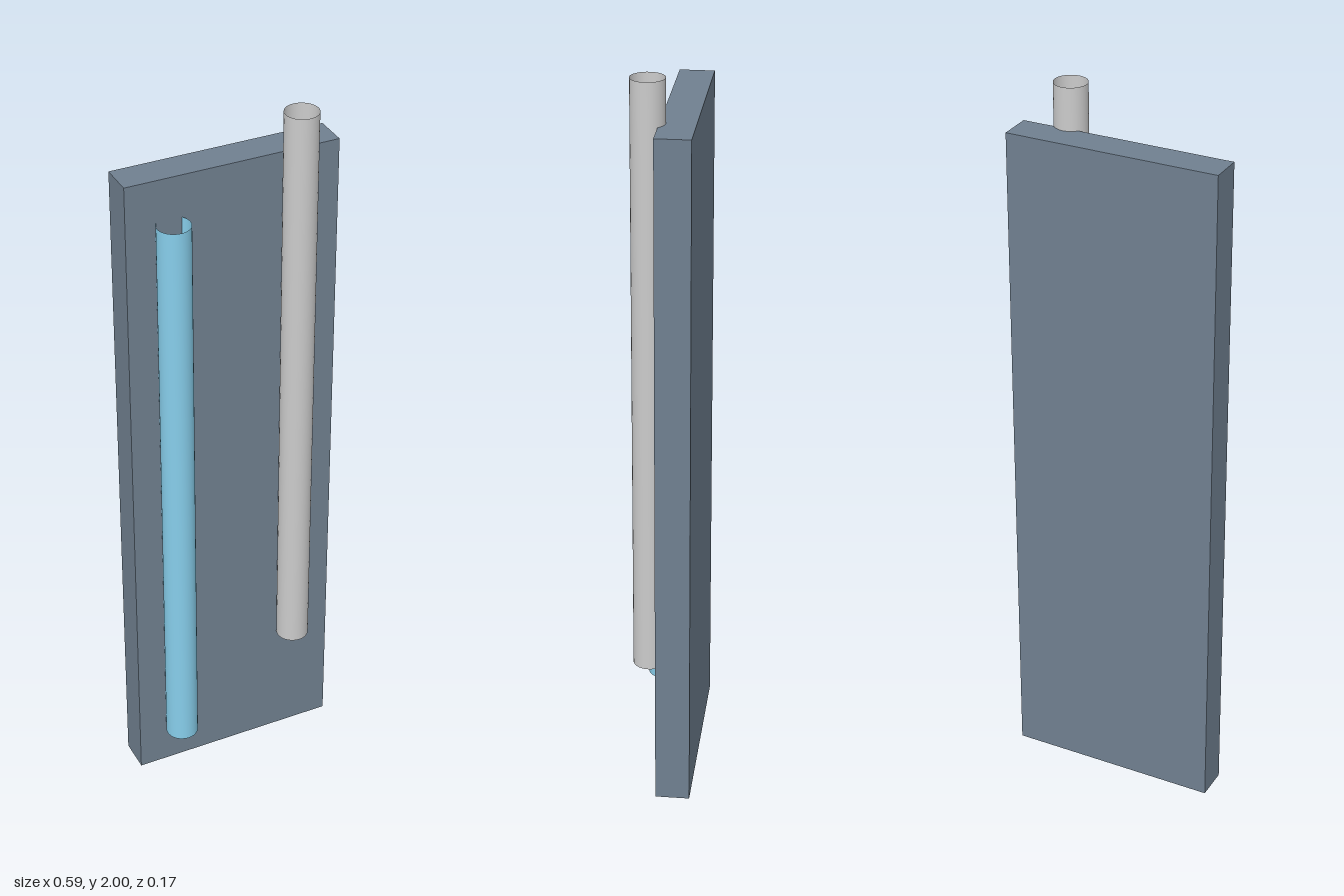
import * as THREE from 'three';

const material = (color, side = THREE.FrontSide) =>
  new THREE.MeshStandardMaterial({ color, side });

// Upright open-ended tube, partly sunk into the face of the panel
function makeTube(name, x, bottom, top, color) {
  const geometry = new THREE.CylinderGeometry(0.045, 0.045, top - bottom, 32, 1, true);
  const tube = new THREE.Mesh(geometry, material(color, THREE.DoubleSide));
  tube.name = name;
  tube.position.set(x, (bottom + top) / 2, 0.038);
  return tube;
}

export function createModel() {
  const group = new THREE.Group();
  group.name = 'panelWithTubes';

  // Flat backing panel
  const panel = new THREE.Mesh(new THREE.BoxGeometry(0.588, 1.884, 0.093), material(0x708090));
  panel.name = 'panel';
  panel.position.set(0, 0.942, -0.0365);
  group.add(panel);

  // Blue tube low on the right, grey tube rising above the panel on the left
  group.add(makeTube('blueTube', -0.176, 0.12, 1.767, 0x87ceeb));
  group.add(makeTube('greyTube', 0.172, 0.357, 2, 0xcccccc));

  return group;
}
